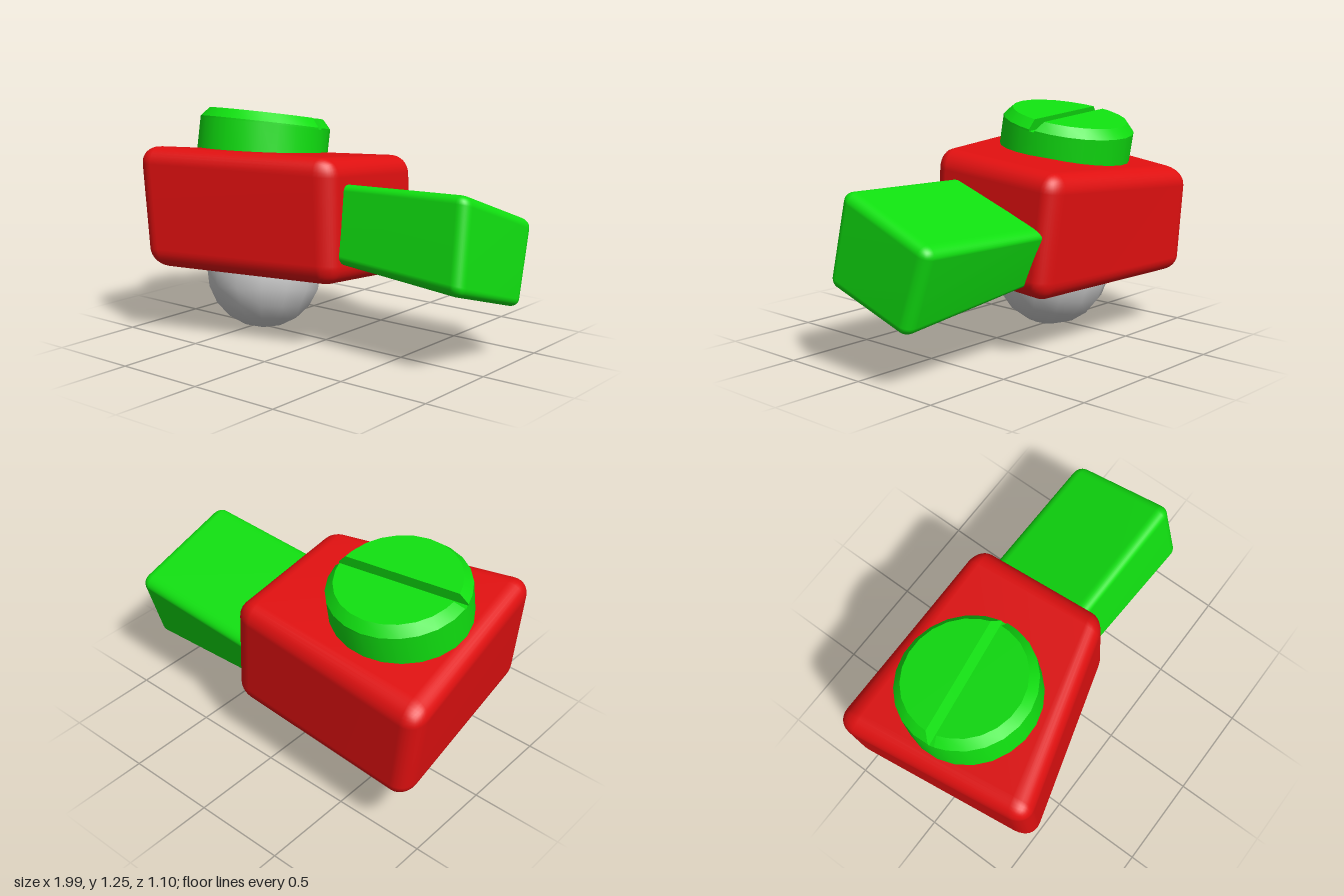
import * as THREE from 'three';
import { mergeVertices, toCreasedNormals } from 'three/addons/utils/BufferGeometryUtils.js';
import { RoundedBoxGeometry } from 'three/addons/geometries/RoundedBoxGeometry.js';

const material = (name, color) => {
  const m = new THREE.MeshStandardMaterial({ color });
  m.name = name;
  return m;
};

// Rounded box warped so that its eight corners land on the given points.
// Each end lists: bottom back, bottom front, top back, top front.
function warpedBox(size, radius, leftEnd, rightEnd) {
  const box = new RoundedBoxGeometry(...size, 4, radius);
  box.deleteAttribute('normal');
  box.deleteAttribute('uv');
  box.clearGroups();
  const geometry = mergeVertices(box);
  const pos = geometry.attributes.position;
  const ends = [leftEnd, rightEnd].map((end) => end.map((c) => new THREE.Vector3(...c)));
  const p = new THREE.Vector3();
  for (let i = 0; i < pos.count; i++) {
    const u = pos.getX(i) / size[0] + 0.5;
    const v = pos.getY(i) / size[1] + 0.5;
    const w = pos.getZ(i) / size[2] + 0.5;
    const [a, b] = ends.map(([bb, bf, tb, tf]) =>
      bb.clone().lerp(bf, w).lerp(tb.clone().lerp(tf, w), v));
    p.copy(a).lerp(b, u);
    pos.setXYZ(i, p.x, p.y, p.z);
  }
  geometry.computeVertexNormals();
  return geometry;
}

// Turned shape around y, optionally cut off by a rule that limits z
function turned(profile, limitZ) {
  const geometry = new THREE.LatheGeometry(profile.map(([r, y]) => new THREE.Vector2(r, y)), 24);
  const pos = geometry.attributes.position;
  if (limitZ) {
    for (let i = 0; i < pos.count; i++) pos.setZ(i, limitZ(pos.getZ(i), pos.getY(i)));
  }
  geometry.deleteAttribute('uv');
  return toCreasedNormals(geometry, 0.6);
}

export function createModel() {
  const model = new THREE.Group();
  const red = material('red', 0xe01010);
  const green = material('green', 0x10e010);
  const grey = material('light grey', 0xcccccc);

  const add = (parent, name, geometry, mat) => {
    const mesh = new THREE.Mesh(geometry, mat);
    mesh.name = name;
    parent.add(mesh);
    return mesh;
  };

  // Wedge-shaped main block
  add(model, 'body', warpedBox([1.15, 0.65, 1], 0.1,
    [[-0.95, 0.3, -0.565], [-0.82, 0.39, 0.565], [-1.01, 0.87, -0.565], [-0.88, 1.055, 0.565]],
    [[0.24, 0.32, -0.51], [0.25, 0.38, 0.25], [0.18, 0.97, -0.545], [0.22, 1.04, 0.24]]), red);

  // Arm leaving the narrow end, rolled about its length
  add(model, 'arm', warpedBox([0.95, 0.55, 0.63], 0.06,
    [[0.05, 0.4, -0.4], [0.05, 0.5, 0.19], [0.05, 0.67, -0.5], [0.05, 0.9, 0.12]],
    [[1.01, 0.27, -0.34], [0.995, 0.44, 0.225], [0.99, 0.71, -0.48], [0.965, 0.93, 0.135]]), green);

  // Ball under the body
  const ball = add(model, 'ball', new THREE.SphereGeometry(0.325, 14, 10), grey);
  ball.position.set(-0.452, 0.322, -0.01);
  ball.rotation.set(-0.18, 0, 0.1);

  // Slotted screw head: a round base and two chamfered segments beside the slot
  const screw = new THREE.Group();
  screw.name = 'screwHead';
  screw.position.set(-0.5, 1.19, -0.09);
  screw.rotation.set(-0.175, 0.15, 0);
  model.add(screw);
  const rim = [[0.362, -0.06], [0.362, -0.05], [0.318, 0], [0, 0]];
  add(screw, 'screwBase', turned([[0.362, -0.3], [0.362, -0.06], [0, -0.06]]), green);
  add(screw, 'screwFrontHalf', turned(rim, (z) => Math.max(z, 0.03)), green);
  add(screw, 'screwBackHalf', turned(rim, (z, y) => Math.min(z, -0.03 - y * 0.5)), green);

  return model;
}
